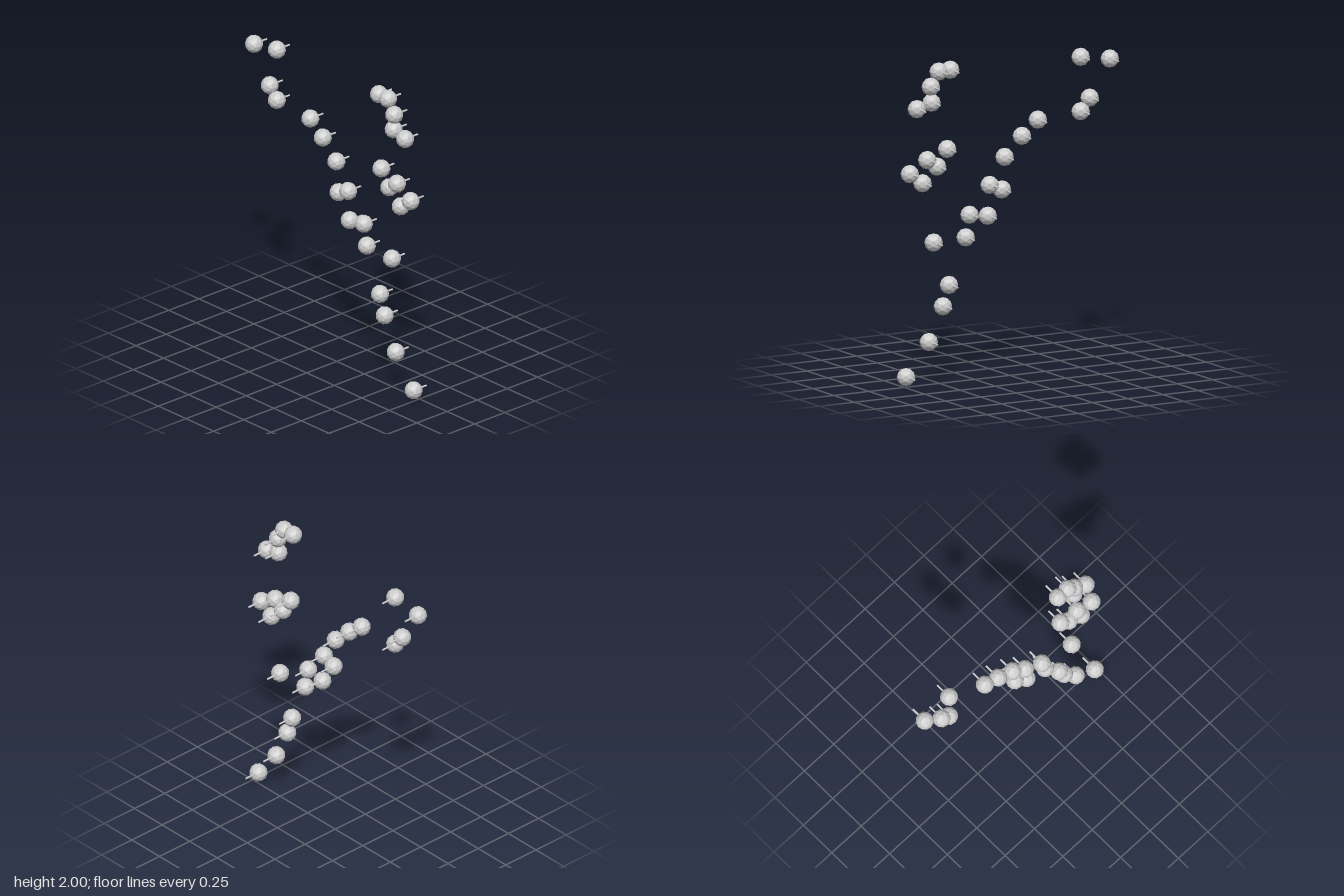
import * as THREE from 'three';

const RADIUS = 0.057;
const HOLD_Z = 0.024;
const BACK_Z = -0.081;

// Hold centres (x, y), grouped by cluster
const clusters = {
  upperLeftHolds: [[-0.724, 1.9], [-0.517, 1.931], [-0.581, 1.67], [-0.517, 1.592]],
  diagonalHolds: [
    [-0.213, 1.57], [-0.1, 1.48], [0.023, 1.361], [0.042, 1.16], [0.129, 1.197],
    [0.143, 1.006], [0.272, 1.025], [0.299, 0.887], [0.527, 0.877],
  ],
  lowerHolds: [[0.418, 0.602], [0.461, 0.473], [0.561, 0.26], [0.723, 0.057]],
  topRightHolds: [[0.409, 1.943], [0.491, 1.94], [0.547, 1.851], [0.542, 1.751], [0.646, 1.721]],
  middleRightHolds: [[0.431, 1.451], [0.572, 1.396], [0.502, 1.348], [0.606, 1.255], [0.696, 1.321]],
};

export function createModel() {
  const lightGrey = new THREE.MeshStandardMaterial({ color: 0xcccccc, flatShading: true });
  lightGrey.name = 'lightGrey';

  // Faceted ball, and a thin pin running from its centre to the back
  const ballGeometry = new THREE.IcosahedronGeometry(RADIUS, 1);
  const pinLength = HOLD_Z - BACK_Z;
  const pinGeometry = new THREE.CylinderGeometry(0.006, 0.006, pinLength, 8);
  pinGeometry.rotateX(Math.PI / 2).translate(0, 0, -pinLength / 2);

  const model = new THREE.Group();
  model.name = 'pinnedBalls';
  for (const [name, points] of Object.entries(clusters)) {
    const cluster = new THREE.Group();
    cluster.name = name;
    for (const [x, y] of points) {
      const hold = new THREE.Group();
      hold.name = 'pinnedBall';
      const ball = new THREE.Mesh(ballGeometry, lightGrey);
      ball.name = 'ball';
      const pin = new THREE.Mesh(pinGeometry, lightGrey);
      pin.name = 'pin';
      hold.add(ball, pin);
      hold.position.set(x, y, HOLD_Z);
      cluster.add(hold);
    }
    model.add(cluster);
  }
  return model;
}
